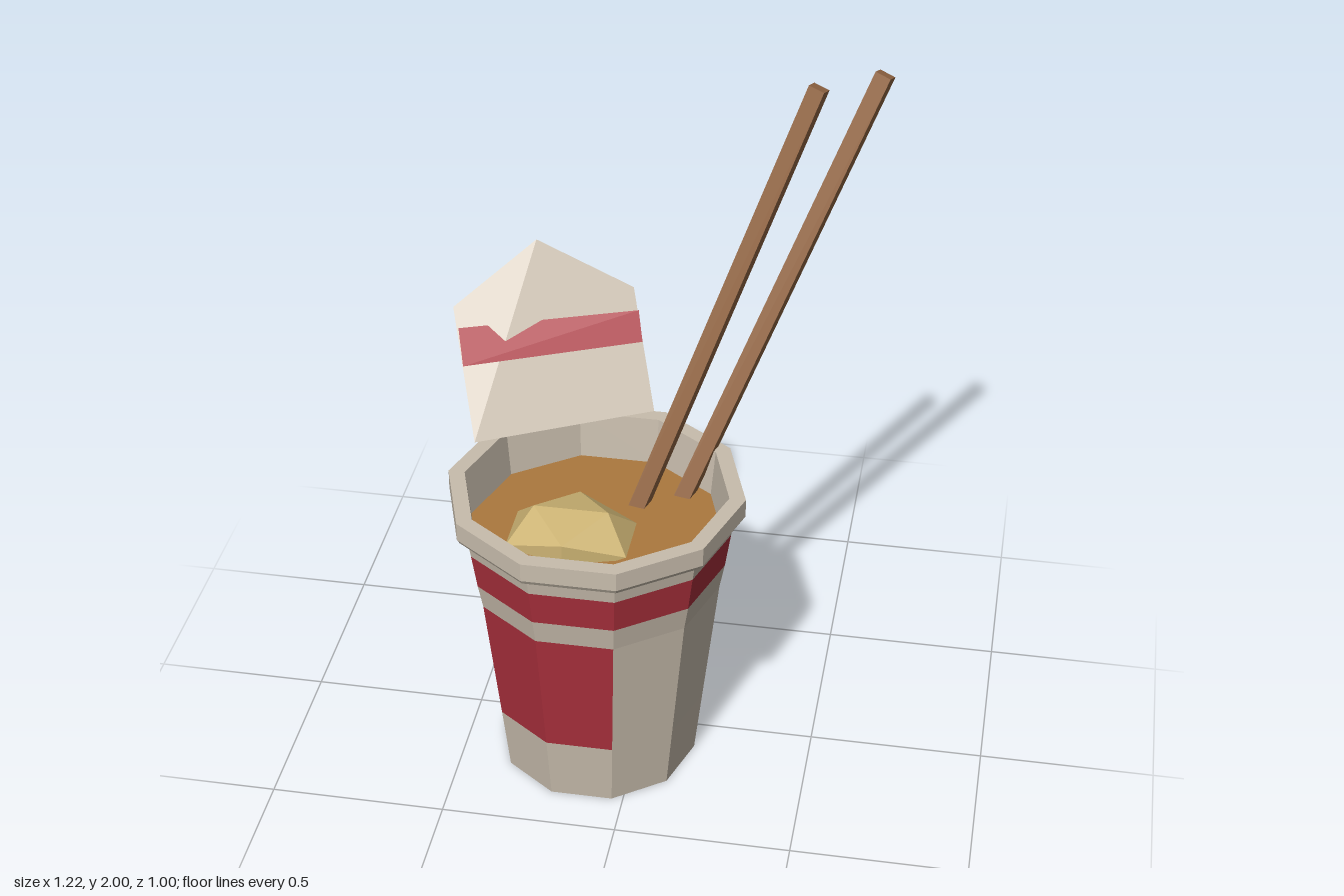
import * as THREE from 'three';

const SIDES = 10;
const STEP = (Math.PI * 2) / SIDES;

function material(name, color, side = THREE.FrontSide) {
  const m = new THREE.MeshStandardMaterial({ color, flatShading: true, side });
  m.name = name;
  return m;
}

function addMesh(parent, name, geometry, mat) {
  const flat = geometry.index ? geometry.toNonIndexed() : geometry;
  flat.computeVertexNormals();
  const mesh = new THREE.Mesh(flat, mat);
  mesh.name = name;
  parent.add(mesh);
  return mesh;
}

// Faceted wall turned from [radius, height] pairs; facet 0 faces +z
function facets(profile, first = 0, count = SIDES) {
  const points = profile.map(([r, y]) => new THREE.Vector2(r, y));
  return new THREE.LatheGeometry(points, count, (first - 0.5) * STEP, count * STEP);
}

// Fan of triangles around the first corner
function fan(corners) {
  const positions = [];
  for (let i = 1; i < corners.length - 1; i++) {
    positions.push(...corners[0], ...corners[i], ...corners[i + 1]);
  }
  const g = new THREE.BufferGeometry();
  g.setAttribute('position', new THREE.Float32BufferAttribute(positions, 3));
  return g;
}

export function createModel() {
  const model = new THREE.Group();
  model.name = 'noodleCup';

  const paper = material('paper', 0xc8bdad);
  const lidPaper = paper.clone();
  lidPaper.side = THREE.DoubleSide;
  const red = material('red', 0xaa303c, THREE.DoubleSide);
  const broth = material('broth', 0xab793e);
  const noodle = material('noodle', 0xcdb474);
  const wood = material('wood', 0x956845);

  // Cup, with its coloured areas as separate facets of the wall
  const cup = new THREE.Group();
  cup.name = 'cup';
  cup.position.set(-0.12, 0, 0.1);
  model.add(cup);

  const labelBottom = [0.307, 0.2];
  const labelTop = [0.351, 0.595];
  const bandBottom = [0.365, 0.67];
  const bandTop = [0.381, 0.777];
  addMesh(cup, 'cupBase', facets([[0, 0], [0.285, 0], labelBottom]), paper);
  addMesh(cup, 'cupWall', facets([labelBottom, labelTop], 1, SIDES - 2), paper);
  addMesh(cup, 'frontLabel', facets([labelBottom, labelTop], -1, 2), red);
  addMesh(cup, 'cupShoulder', facets([labelTop, bandBottom]), paper);
  addMesh(cup, 'redBand', facets([bandBottom, bandTop]), red);
  addMesh(cup, 'rim', facets([
    bandTop, [0.39, 0.832], [0.412, 0.832], [0.42, 0.845],
    [0.42, 0.9], [0.374, 0.9], [0.36, 0.76],
  ]), paper);
  addMesh(cup, 'soup', facets([[0.36, 0.76], [0, 0.76]]), broth);

  // Noodle lump floating in the soup
  const lump = addMesh(cup, 'noodleLump', new THREE.IcosahedronGeometry(1, 0), noodle);
  lump.scale.set(0.2, 0.1, 0.158);
  lump.position.set(-0.06, 0.768, 0.06);

  // Peeled-back lid, creased towards its outer left corner
  const lid = new THREE.Group();
  lid.name = 'lid';
  model.add(lid);
  addMesh(lid, 'lidSheet', fan([
    [-0.5, 0.9, -0.05], [-0.025, 0.9, -0.3], [-0.12, 1.19, -0.5],
    [-0.4, 1.335, -0.475], [-0.61, 1.19, -0.3],
  ]), lidPaper);
  // Straight stripe that the crease pokes through
  addMesh(lid, 'lidStripe', fan([
    [-0.555, 1.075, -0.17], [-0.075, 1.075, -0.39],
    [-0.095, 1.15, -0.44], [-0.585, 1.15, -0.252],
  ]), red);

  // Chopsticks
  const sticks = [
    ['rightChopstick', [-0.034, 0.72, -0.026], [0.419, 1.985, -0.266]],
    ['leftChopstick', [0.084, 0.72, -0.095], [0.583, 1.985, -0.376]],
  ];
  for (const [name, from, to] of sticks) {
    const a = new THREE.Vector3(...from);
    const b = new THREE.Vector3(...to);
    const dir = b.clone().sub(a);
    const stick = addMesh(model, name, new THREE.BoxGeometry(0.046, dir.length(), 0.046), wood);
    stick.position.copy(a).lerp(b, 0.5);
    stick.quaternion.setFromUnitVectors(new THREE.Vector3(0, 1, 0), dir.normalize());
    stick.rotateY(-0.26);
  }

  return model;
}
